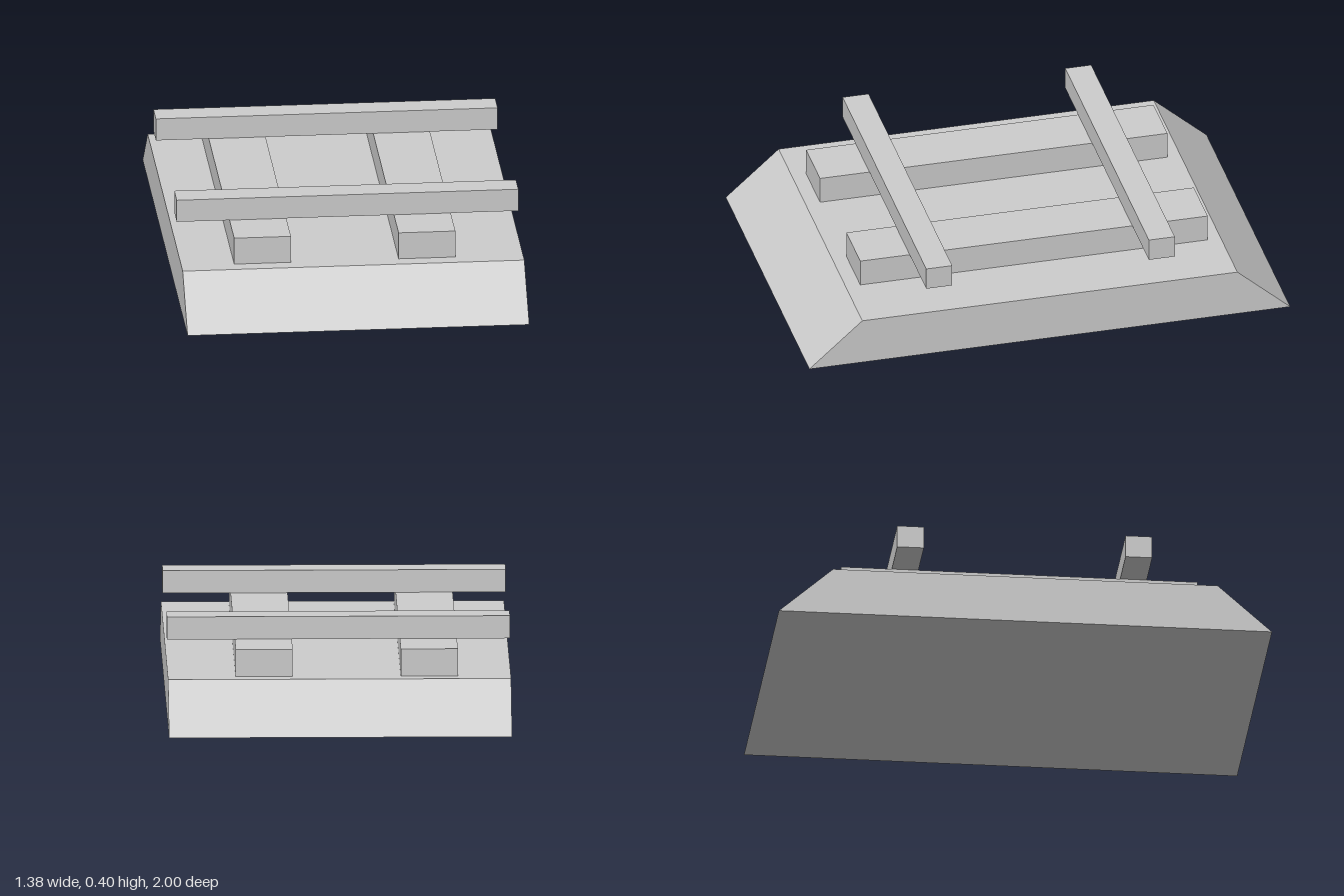
import * as THREE from 'three';

export function createModel() {
  const model = new THREE.Group();
  model.name = 'trackSegment';
  const grey = new THREE.MeshStandardMaterial({ color: 0xcccccc });
  grey.name = 'light grey';

  const add = (name, geometry, x, y, z) => {
    const mesh = new THREE.Mesh(geometry, grey);
    mesh.name = name;
    mesh.position.set(x, y, z);
    model.add(mesh);
  };

  const width = 1.384;
  const bedTop = 0.195;
  const sleeperTop = 0.307;
  const railTop = 0.4;

  // Ballast bed: trapezoid profile along z, extruded across x
  const profile = new THREE.Shape([
    new THREE.Vector2(-1, 0),
    new THREE.Vector2(1, 0),
    new THREE.Vector2(0.78, bedTop),
    new THREE.Vector2(-0.78, bedTop),
  ]);
  const bed = new THREE.ExtrudeGeometry(profile, { depth: width, bevelEnabled: false });
  bed.translate(0, 0, -width / 2).rotateY(Math.PI / 2);
  add('ballastBed', bed, 0, 0, 0);

  // Sleepers: two beams running front to back
  const sleeperHeight = sleeperTop - bedTop;
  const sleeper = new THREE.BoxGeometry(0.23, sleeperHeight, 1.445);
  [['rightSleeper', -0.363], ['leftSleeper', 0.303]].forEach(([name, x]) =>
    add(name, sleeper, x, bedTop + sleeperHeight / 2, -0.003));

  // Rails: two bars lying across the sleepers
  const railHeight = railTop - sleeperTop;
  const rail = new THREE.BoxGeometry(width, railHeight, 0.108);
  [['frontRail', 0.46], ['backRail', -0.466]].forEach(([name, z]) =>
    add(name, rail, 0, sleeperTop + railHeight / 2, z));

  return model;
}
